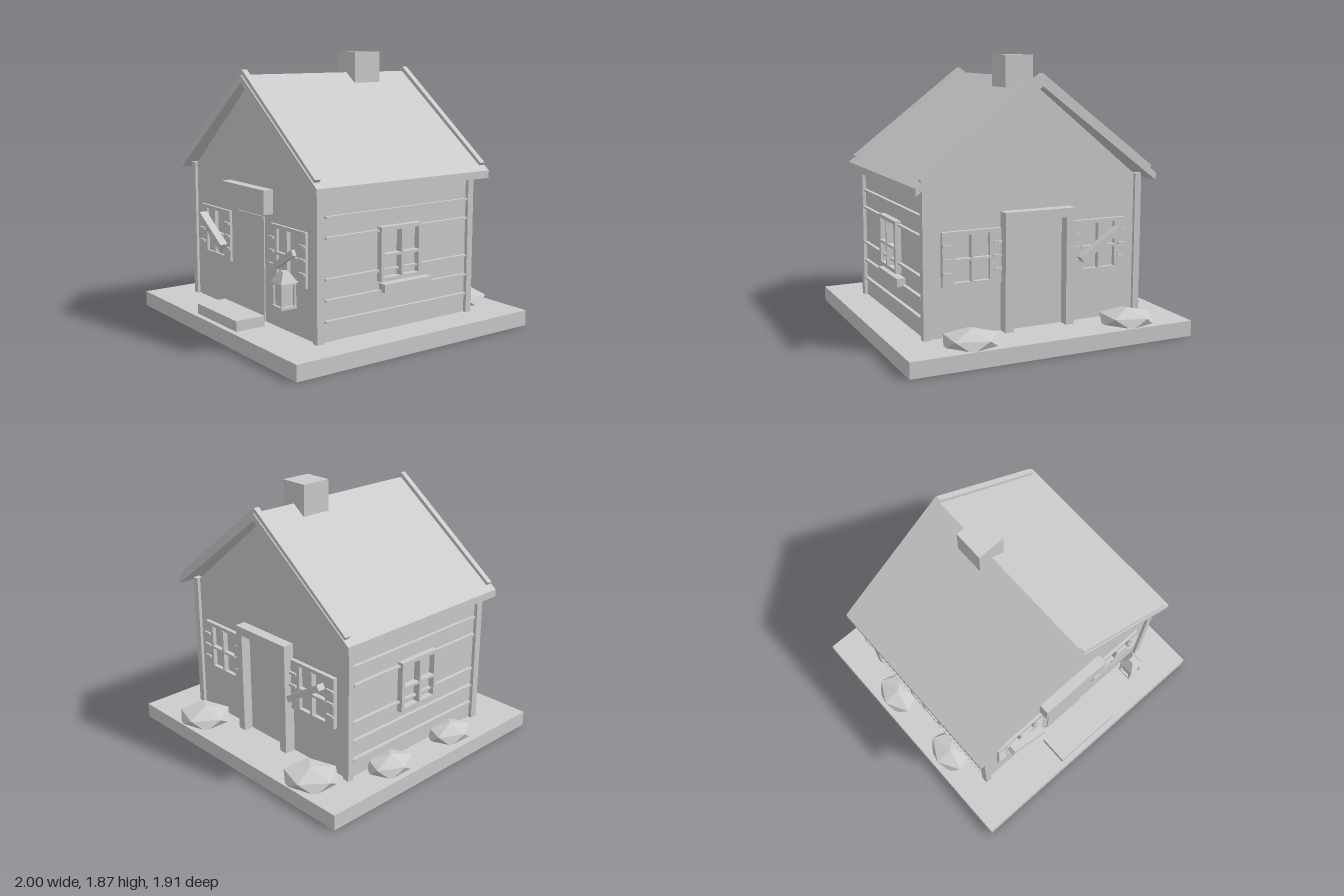
import * as THREE from 'three';

const grey = new THREE.MeshStandardMaterial({ color: 0xcccccc, flatShading: true });
grey.name = 'plain grey';

function add(parent, name, geometry) {
  const mesh = new THREE.Mesh(geometry, grey);
  mesh.name = name;
  parent.add(mesh);
  return mesh;
}

// Box given by its limits along each axis
function box(parent, name, [x0, x1], [y0, y1], [z0, z1]) {
  const mesh = add(parent, name, new THREE.BoxGeometry(x1 - x0, y1 - y0, z1 - z0));
  mesh.position.set((x0 + x1) / 2, (y0 + y1) / 2, (z0 + z1) / 2);
  return mesh;
}

// Outline in x, y pushed through from z0 to z1
function prism(parent, name, points, z0, z1, hole) {
  const shape = new THREE.Shape(points.map(([x, y]) => new THREE.Vector2(x, y)));
  if (hole) shape.holes.push(new THREE.Path(hole.map(([x, y]) => new THREE.Vector2(x, y))));
  const geometry = new THREE.ExtrudeGeometry(shape, { depth: z1 - z0, bevelEnabled: false });
  geometry.translate(0, 0, z0);
  return add(parent, name, geometry);
}

const rect = (w, h) => [[-w, -h], [w, -h], [w, h], [-w, h]];

// Window facing +z, its back at z = 0; side slats are optional
function makeWindow(name, halfWidth, openHalf, depth, slats) {
  const win = new THREE.Group();
  win.name = name;
  prism(win, 'windowFrame', rect(halfWidth, 0.177), 0, depth, rect(openHalf, 0.152).reverse());
  box(win, 'uprightBar', [-0.009, 0.009], [-0.152, 0.152], [0, depth + 0.008]);
  box(win, 'crossBar', [-openHalf, openHalf], [-0.015, 0.001], [0, depth + 0.005]);
  if (slats) {
    for (const y of [0.088, 0, -0.088]) {
      for (const s of [-1, 1]) {
        const [a, b] = [s * 0.145, s * 0.203];
        box(win, 'shutterSlat', [Math.min(a, b), Math.max(a, b)], [y - 0.008, y + 0.008], [0, depth + 0.015]);
      }
    }
  }
  return win;
}

// Tilted plank nailed over a window
function plank(parent, x, y, z, length, depth, angle) {
  const mesh = add(parent, 'windowPlank', new THREE.BoxGeometry(length, 0.042, depth));
  mesh.position.set(x, y, z);
  mesh.rotation.z = angle;
}

// Faceted mound: top point, two staggered rings of five, bottom point
function moundGeometry() {
  const geometry = new THREE.IcosahedronGeometry(1, 0);
  geometry.rotateZ(Math.atan(2 / (1 + Math.sqrt(5))));
  return geometry;
}

export function createModel() {
  const model = new THREE.Group();
  model.name = 'cottage';

  box(model, 'base', [-1, 1], [0, 0.106], [-0.955, 0.955]);

  // Body with both gables
  prism(model, 'walls', [[-0.765, 0.1], [0.765, 0.1], [0.765, 1.06], [0, 1.68], [-0.765, 1.06]], -0.61, 0.64);

  // Corner posts, siding and side windows
  for (const s of [-1, 1]) {
    const x = s > 0 ? [0.743, 0.79] : [-0.79, -0.743];
    box(model, 'cornerPost', x, [0.1, 1.08], [0.607, 0.66]);
    box(model, 'cornerPost', x, [0.1, 1.08], [-0.632, -0.585]);
    for (const y of [0.238, 0.372, 0.505, 0.764, 0.892]) {
      box(model, 'sidingStrip', x, [y - 0.007, y + 0.007], [-0.58, 0.59]);
    }
    const win = makeWindow('sideWindow', 0.168, 0.143, 0.045, false);
    win.position.set(s * 0.762, 0.612, 0.007);
    win.rotation.y = s * Math.PI / 2;
    model.add(win);
  }
  box(model, 'windowSill', [0.76, 0.825], [0.365, 0.42], [-0.235, 0.16]);

  // Roof slab and the gable trim lying on it
  const roof = [[0, 1.68], [0.858, 1.036], [0.858, 1.087], [0, 1.73], [-0.858, 1.087], [-0.858, 1.036]];
  prism(model, 'roof', roof, -0.705, 0.71);
  for (const z of [0.68, -0.677]) {
    for (const s of [-1, 1]) {
      const trim = add(model, 'roofTrim', new THREE.BoxGeometry(1.035, 0.032, 0.04));
      trim.position.set(s * 0.405, 1.437, z);
      trim.rotation.z = -s * 0.649;
    }
  }
  box(model, 'chimney', [-0.1, 0.1], [1.66, 1.872], [-0.365, -0.15]);

  // Front and back windows
  for (const x of [-0.46, 0.46]) {
    const front = makeWindow('frontWindow', 0.203, 0.123, 0.02, true);
    front.position.set(x, 0.612, 0.639);
    const back = makeWindow('backWindow', 0.203, 0.123, 0.03, true);
    back.position.set(x, 0.612, -0.609);
    back.rotation.y = Math.PI;
    model.add(front, back);
  }
  plank(model, -0.433, 0.632, 0.697, 0.35, 0.056, -0.57);
  plank(model, -0.453, 0.583, 0.677, 0.26, 0.026, -0.6);
  plank(model, 0.455, 0.585, 0.677, 0.25, 0.026, 0.53);
  plank(model, -0.445, 0.632, -0.682, 0.35, 0.056, -0.57);

  // Front entrance
  box(model, 'frontDoor', [-0.168, 0.168], [0.1, 0.812], [0.63, 0.648]);
  box(model, 'doorBoard', [-0.27, 0.27], [0.845, 1.005], [0.635, 0.712]);
  box(model, 'doorStep', [-0.26, 0.257], [0.1, 0.176], [0.705, 0.918]);

  // Back entrance with its frame
  box(model, 'backDoor', [-0.19, 0.19], [0.1, 0.83], [-0.618, -0.6]);
  box(model, 'doorPost', [-0.25, -0.19], [0.1, 0.83], [-0.687, -0.605]);
  box(model, 'doorPost', [0.19, 0.25], [0.1, 0.83], [-0.687, -0.605]);
  box(model, 'doorHeader', [-0.25, 0.25], [0.83, 0.89], [-0.687, -0.605]);

  // Lantern
  const lantern = new THREE.Group();
  lantern.name = 'lantern';
  lantern.position.set(0.565, 0.31, 0.752);
  box(lantern, 'lanternBase', [-0.058, 0.058], [0, 0.018], [-0.058, 0.058]);
  box(lantern, 'lanternGlass', [-0.04, 0.04], [0.018, 0.15], [-0.04, 0.04]);
  box(lantern, 'lanternTop', [-0.055, 0.055], [0.15, 0.167], [-0.055, 0.055]);
  for (const x of [-0.047, 0.047]) {
    for (const z of [-0.047, 0.047]) {
      box(lantern, 'lanternPost', [x - 0.007, x + 0.007], [0.018, 0.15], [z - 0.007, z + 0.007]);
    }
  }
  const cap = add(lantern, 'lanternCap', new THREE.CylinderGeometry(0.028, 0.088, 0.07, 4).rotateY(Math.PI / 4));
  cap.position.y = 0.2;
  model.add(lantern);

  // Low mounds around the back and left
  for (const [x, z, rx, rz] of [
    [-0.6, -0.78, 0.207, 0.195], [0.53, -0.78, 0.207, 0.195],
    [-0.848, -0.305, 0.145, 0.19], [-0.84, 0.305, 0.145, 0.19],
  ]) {
    const mound = add(model, 'mound', moundGeometry());
    mound.scale.set(rx, 0.075, rz);
    mound.position.set(x, 0.125, z);
  }
  return model;
}
